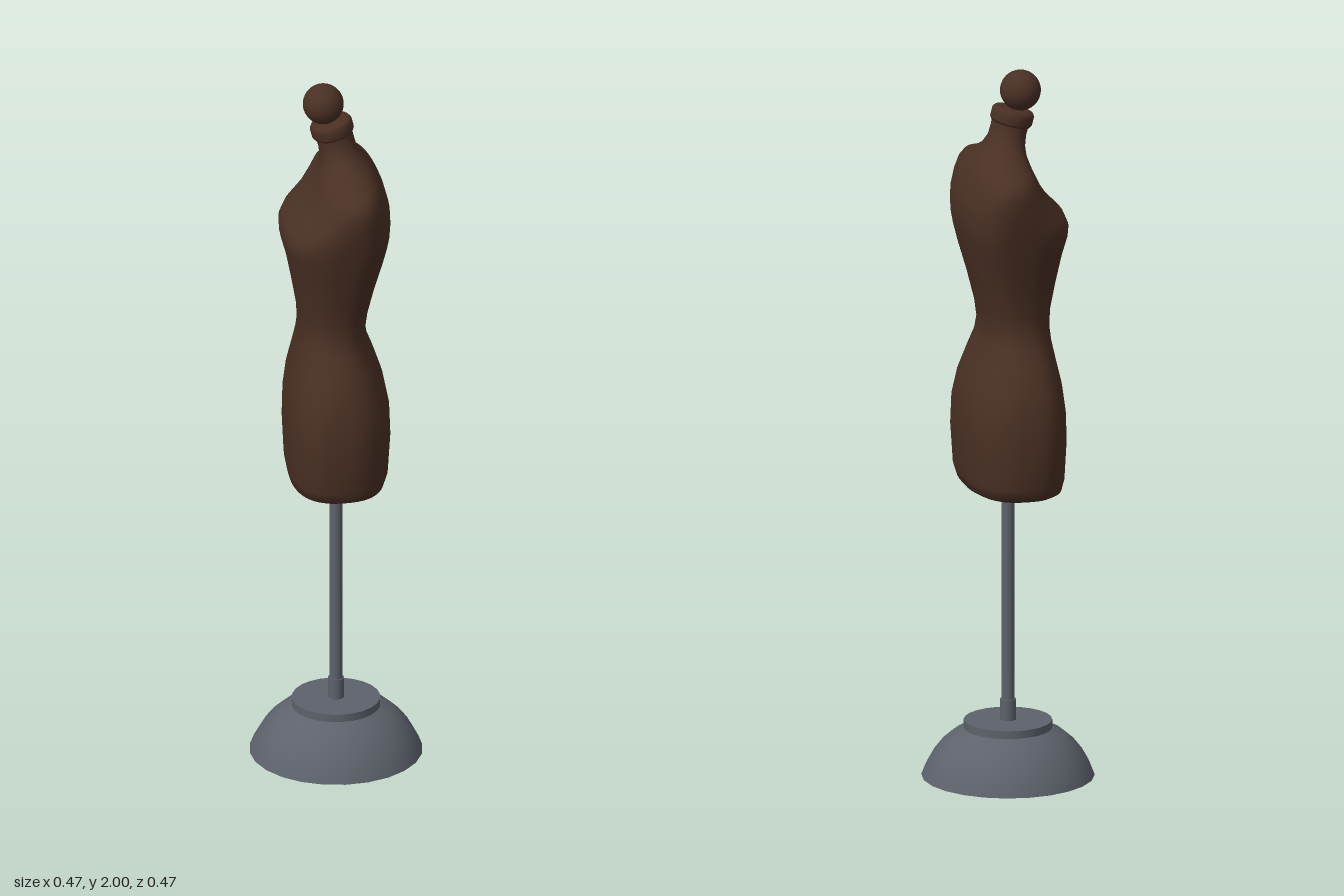
import * as THREE from 'three';

const fabric = new THREE.MeshStandardMaterial({ color: 0x4a3024 });
fabric.name = 'brownFabric';
const metal = new THREE.MeshStandardMaterial({ color: 0x5d626b, side: THREE.DoubleSide });
metal.name = 'greyMetal';

function add(group, name, geometry, material, x = 0, y = 0, z = 0) {
  const mesh = new THREE.Mesh(geometry, material);
  mesh.name = name;
  mesh.position.set(x, y, z);
  group.add(mesh);
  return mesh;
}

// Skin stacked superellipse sections; the chest faces -x.
// Section: y, chest x, back x, half width, x of the widest point, squareness
function loft(sections, segments) {
  const positions = [], index = [];
  const power = (v, n) => Math.sign(v) * Math.abs(v) ** (2 / n);
  for (const [y, front, back, half, mid, n] of sections) {
    for (let j = 0; j < segments; j++) {
      const a = (j / segments) * Math.PI * 2;
      const c = power(Math.cos(a), n), s = power(Math.sin(a), n);
      positions.push(mid + c * (c > 0 ? back - mid : mid - front), y, s * half);
    }
  }
  for (let i = 0; i < sections.length - 1; i++) {
    for (let j = 0; j < segments; j++) {
      const k = (j + 1) % segments;
      const a = i * segments + j, b = i * segments + k;
      const c = a + segments, d = b + segments;
      index.push(a, c, b, b, c, d);
    }
  }
  const geometry = new THREE.BufferGeometry();
  geometry.setAttribute('position', new THREE.Float32BufferAttribute(positions, 3));
  geometry.setIndex(index);
  geometry.computeVertexNormals();
  return geometry;
}

// Hips, waist, bust, shoulders and neck, from the bottom up
const torsoSections = [
  [0.828, 0, 0, 0, 0, 2.6],
  [0.828, -0.115, 0.11, 0.195, -0.01, 2.6],
  [0.838, -0.132, 0.127, 0.215, -0.01, 2.6],
  [0.87, -0.138, 0.137, 0.228, -0.015, 2.6],
  [0.98, -0.143, 0.144, 0.237, -0.02, 2.6],
  [1.06, -0.141, 0.141, 0.233, -0.02, 2.6],
  [1.13, -0.133, 0.127, 0.22, -0.02, 2.5],
  [1.2, -0.119, 0.103, 0.19, -0.015, 2.4],
  [1.25, -0.109, 0.083, 0.165, -0.012, 2.4],
  [1.29, -0.105, 0.077, 0.152, -0.01, 2.4],
  [1.34, -0.108, 0.084, 0.152, -0.005, 2.4],
  [1.42, -0.122, 0.103, 0.17, 0, 2.5],
  [1.5, -0.138, 0.125, 0.193, 0.01, 2.6],
  [1.55, -0.152, 0.136, 0.206, 0.02, 2.7],
  [1.58, -0.154, 0.141, 0.213, 0.025, 2.7],
  [1.61, -0.142, 0.144, 0.22, 0.03, 2.5],
  [1.65, -0.102, 0.142, 0.228, 0.035, 2.4],
  [1.69, -0.076, 0.131, 0.232, 0.04, 2.3],
  [1.72, -0.062, 0.118, 0.227, 0.042, 2.2],
  [1.74, -0.054, 0.108, 0.2, 0.042, 2.1],
  [1.765, -0.047, 0.092, 0.125, 0.035, 2],
  [1.79, -0.045, 0.073, 0.08, 0.02, 2],
  [1.82, -0.049, 0.055, 0.058, 0.004, 2],
  [1.85, -0.058, 0.047, 0.053, -0.005, 2],
  [1.875, -0.062, 0.042, 0.052, -0.01, 2],
];

export function createModel() {
  const model = new THREE.Group();
  model.name = 'dressForm';

  add(model, 'torso', loft(torsoSections, 48), fabric);

  // Tilted neck collar with a rounded edge, and a ball finial
  const collarProfile = [[0, -0.022], [0.054, -0.022], [0.059, -0.014], [0.059, 0.01], [0.054, 0.018], [0.042, 0.021], [0, 0.021]]
    .map(([r, y]) => new THREE.Vector2(r, y));
  const collar = add(model, 'neckCollar', new THREE.LatheGeometry(collarProfile, 32), fabric, -0.012, 1.874);
  collar.rotation.z = 0.25;
  add(model, 'neckBall', new THREE.SphereGeometry(0.056, 28, 20), fabric, -0.035, 1.944);

  // Pole with a socket at its foot
  add(model, 'pole', new THREE.CylinderGeometry(0.018, 0.018, 0.7, 16), metal, 0, 0.495);
  add(model, 'poleSocket', new THREE.CylinderGeometry(0.022, 0.022, 0.06, 16), metal, 0, 0.185);

  // Hollow domed foot
  const domeProfile = [[0.237, 0], [0.226, 0.028], [0.208, 0.06], [0.183, 0.092], [0.153, 0.118], [0.115, 0.137]]
    .map(([r, y]) => new THREE.Vector2(r, y));
  add(model, 'domeBase', new THREE.LatheGeometry(domeProfile, 24), metal);
  add(model, 'basePlate', new THREE.CylinderGeometry(0.121, 0.121, 0.022, 24), metal, 0, 0.146);

  return model;
}
